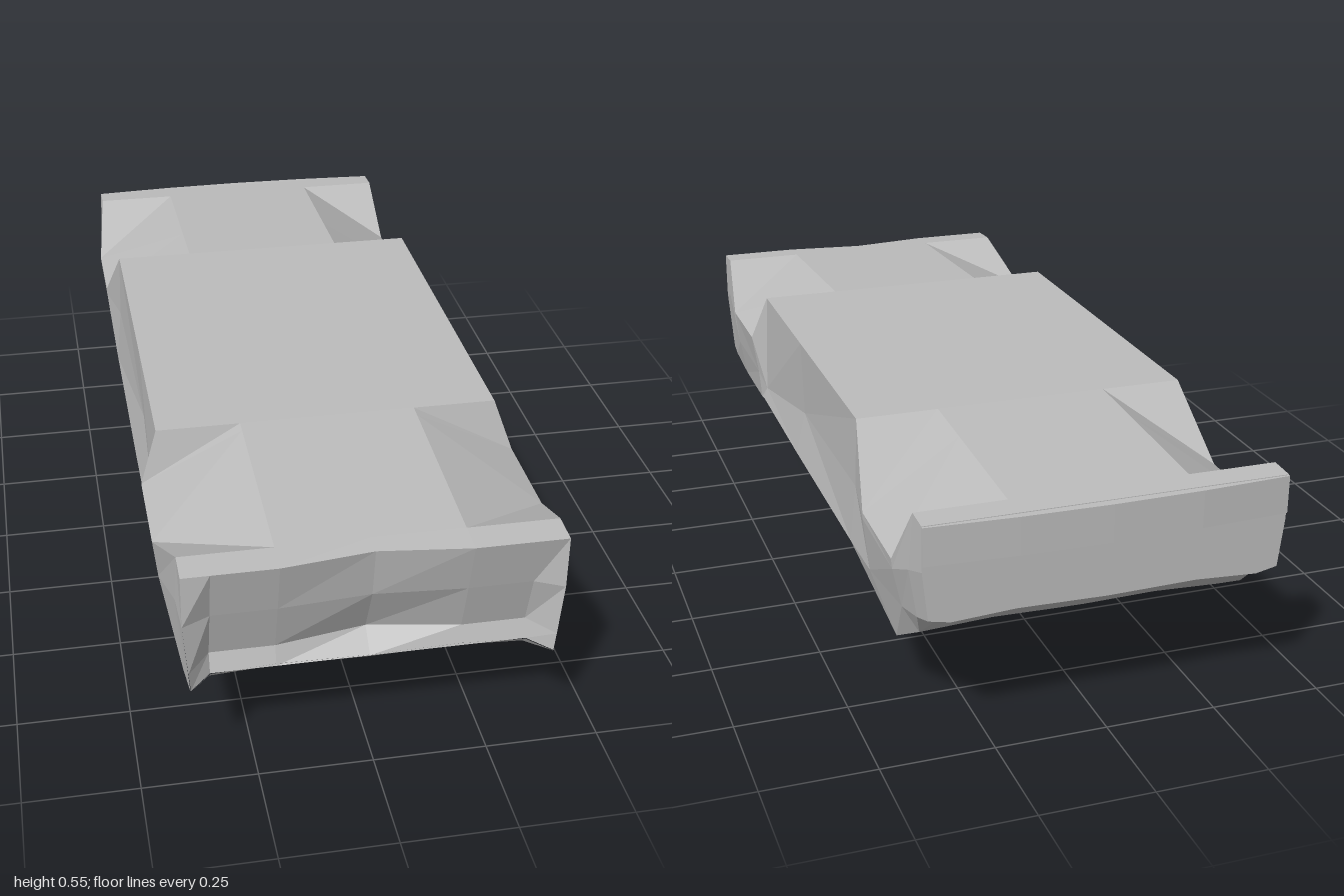
import * as THREE from 'three';

// Pushes one quad as two triangles; the crease runs through its lowest corner.
function addQuad(out, a, b, c, d) {
  if (Math.min(a[1], c[1]) <= Math.min(b[1], d[1])) out.push(...a, ...b, ...c, ...a, ...c, ...d);
  else out.push(...a, ...b, ...d, ...b, ...c, ...d);
}

// Skins a list of point rows; closed rows form a tube, caps close its ends.
function skin(rows, closed, capFront, capBack) {
  const out = [];
  const n = rows[0].length;
  for (let i = 0; i + 1 < rows.length; i++) {
    for (let j = 0; j < (closed ? n : n - 1); j++) {
      const k = (j + 1) % n;
      addQuad(out, rows[i][j], rows[i][k], rows[i + 1][k], rows[i + 1][j]);
    }
  }
  const cap = (r, flip) => {
    const mid = [0, r.reduce((s, p) => s + p[1], 0) / n, r[0][2]];
    r.forEach((p, j) => {
      const q = r[(j + 1) % n];
      out.push(...mid, ...(flip ? q : p), ...(flip ? p : q));
    });
  };
  if (capFront) cap(rows[0], true);
  if (capBack) cap(rows[rows.length - 1], false);
  const g = new THREE.BufferGeometry();
  g.setAttribute('position', new THREE.Float32BufferAttribute(out, 3));
  g.computeVertexNormals();
  return g;
}

// Mirrors the given points to the other side in reverse order.
const mirrored = points => points.reverse().map(([x, y, z]) => [-x, y, z]);

// Full ring from a half outline that starts and ends on the centre line.
const ring = half => [...half, ...mirrored(half.slice(1, -1))];

// Roof is level in the middle and slopes gently to both ends.
const roofY = z => 0.547 - 0.05 * Math.max(0, Math.abs(z) - 0.46);

export function createModel() {
  const group = new THREE.Group();
  const grey = new THREE.MeshStandardMaterial({ color: 0xbcbcbc });
  grey.name = 'plain grey';
  const add = (name, geometry) => {
    const mesh = new THREE.Mesh(geometry, grey);
    mesh.name = name;
    group.add(mesh);
    return mesh;
  };

  // Body shell: z, shoulder x and drop, crease x and y, rocker y, floor z, x and y
  const sections = [
    [0.99, 0.40, 0, 0.40, 0.40, 0.235, 0.94, 0.34, 0.235],
    [0.92, 0.40, 0, 0.405, 0.42, 0.235, 0.92, 0.34, 0.215],
    [0.72, 0.43, 0.105, 0.42, 0.34, 0.245, 0.81, 0.34, 0.14],
    [0.49, 0.43, 0.115, 0.415, 0.33, 0.255, 0.57, 0.36, 0.21],
    [0.46, 0.39, 0, 0.40, 0.29, 0.26, 0.46, 0.35, 0.245],
    [0.07, 0.39, 0, 0.385, 0.36, 0.255, 0.07, 0.35, 0.25],
    [-0.46, 0.39, 0, 0.395, 0.385, 0.25, -0.46, 0.35, 0.22],
    [-0.61, 0.42, 0.15, 0.42, 0.375, 0.25, -0.73, 0.382, 0.145],
    [-0.83, 0.42, 0.145, 0.418, 0.36, 0.27, -0.86, 0.37, 0.22],
    [-0.92, 0.40, 0, 0.41, 0.40, 0.29, -0.92, 0.36, 0.27],
    [-0.98, 0.40, 0, 0.40, 0.42, 0.31, -0.98, 0.34, 0.30],
  ];
  const shellRings = sections.map(([z, sx, drop, cx, cy, ry, fz, fx, fy]) => ring([
    [0, roofY(z), z > 0.95 ? z - 0.025 : z],
    [0.2, roofY(z), z],
    [sx, roofY(z) - drop, z],
    [cx, cy, z],
    [0.41 - 0.024 * z ** 4, ry, z],
    [fx, fy, fz],
    [0.2, fy + 0.008, fz],
    [0, fy + 0.004, fz],
  ]));
  add('bodyShell', skin(shellRings, true, false, true));

  // Recessed front panel between two corner posts: y, post x, recess z at side and centre
  const frontRows = [
    [roofY(0.99), 0.40, 0.99, 0.965],
    [0.40, 0.40, 0.96, 0.945],
    [0.28, 0.39, 0.925, 0.89],
    [0.237, 0.386, 0.94, 0.94],
  ].map(([y, postX, sideZ, midZ]) => {
    const half = [[postX, y, 0.99], [0.34, y, sideZ], [0.2, y, sideZ], [0, y, midZ]];
    return [...half, ...mirrored(half.slice(0, -1))];
  });
  add('frontPanel', skin(frontRows, false));

  // Rear lip, bowed slightly outward
  const lip = new THREE.BoxGeometry(0.8, 0.085, 0.02, 4, 1, 1).toNonIndexed();
  const p = lip.attributes.position;
  for (let i = 0; i < p.count; i++) {
    p.setZ(i, p.getZ(i) - 0.99 + 0.015 * (p.getX(i) / 0.4) ** 2);
  }
  lip.translate(0, 0.477, 0);
  lip.computeVertexNormals();
  add('rearLip', lip);

  // Belly pan: z, side x and y, bottom edge x and y
  const belly = [
    [0.57, 0.30, 0.23, 0.2, 0.22],
    [0.39, 0.335, 0.17, 0.2, 0.112],
    [0.30, 0.325, 0.13, 0.205, 0.105],
    [0.06, 0.325, 0.11, 0.205, 0.085],
    [-0.25, 0.325, 0.11, 0.205, 0.085],
    [-0.29, 0.32, 0.13, 0.2, 0.087],
    [-0.46, 0.30, 0.225, 0.18, 0.215],
  ].map(([z, x1, y1, x2, y2]) =>
    ring([[0, 0.26, z], [0.345, 0.26, z], [x1, y1, z], [x2, y2, z], [0, y2, z]]));
  add('bellyPan', skin(belly, true, true, true));

  // Tapered peg under the belly
  const peg = new THREE.CylinderGeometry(Math.SQRT2, 0.78, 0.095, 4, 1).toNonIndexed();
  peg.rotateY(Math.PI / 4);
  peg.scale(0.052, 1, 0.045);
  peg.computeVertexNormals();
  add('bottomPeg', peg).position.set(0, 0.0475, 0.015);

  return group;
}
